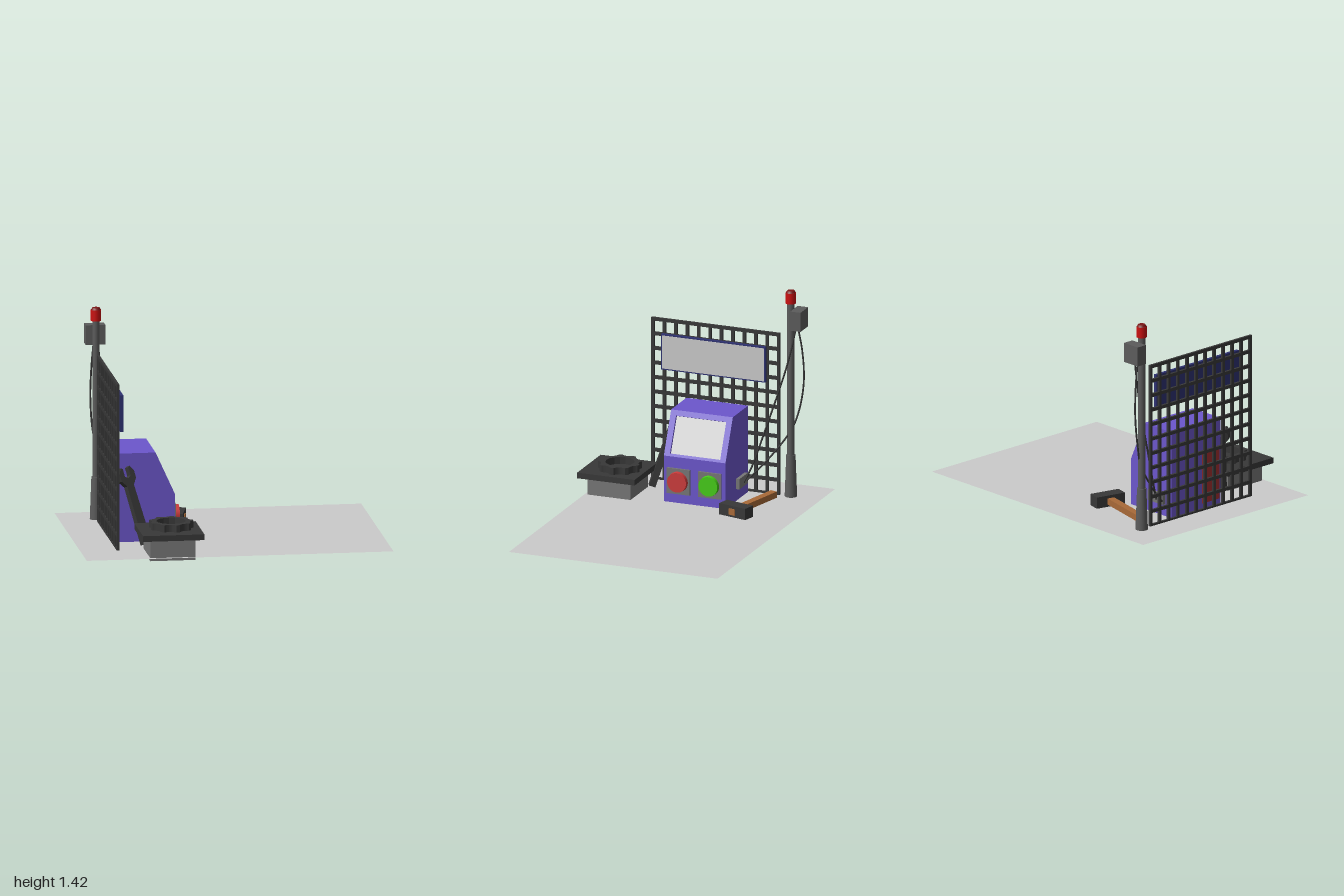
import * as THREE from 'three';

const mat = (color, opts = {}) => new THREE.MeshStandardMaterial({ color, ...opts });
const grey = mat(0xcccccc, { side: THREE.DoubleSide });
const midGrey = mat(0x777777);
const steel = mat(0x5c5c5c);
const dark = mat(0x383838);
const purple = mat(0x6c56cc);
const navy = mat(0x2e3272);
const wood = mat(0xa86a38);
const beaconRed = mat(0xcc1010);

function add(parent, name, geometry, material, x = 0, y = 0, z = 0) {
  const mesh = new THREE.Mesh(geometry, material);
  mesh.name = name;
  mesh.position.set(x, y, z);
  parent.add(mesh);
  return mesh;
}

// Box given by its lower and upper limits on each axis
function block(parent, name, material, x0, x1, y0, y1, z0, z1) {
  return add(parent, name, new THREE.BoxGeometry(x1 - x0, y1 - y0, z1 - z0), material,
    (x0 + x1) / 2, (y0 + y1) / 2, (z0 + z1) / 2);
}

function extrude(points, depth, z = 0) {
  const shape = new THREE.Shape(points.map(p => new THREE.Vector2(...p)));
  return new THREE.ExtrudeGeometry(shape, { depth, bevelEnabled: false }).translate(0, 0, z);
}

function makeMeshPanel() {
  const g = new THREE.Group();
  g.name = 'wireMeshPanel';
  const n = 12, z0 = -0.452, z1 = 0.424, y0 = 0.021, y1 = 1.107;
  for (let i = 0; i < n; i++) {
    const z = THREE.MathUtils.lerp(z0, z1, i / (n - 1));
    const y = THREE.MathUtils.lerp(y0, y1, i / (n - 1));
    block(g, 'uprightBar', dark, -0.764, -0.748, 0.01, 1.118, z - 0.01, z + 0.01);
    block(g, 'crossBar', dark, -0.764, -0.748, y - 0.011, y + 0.011, -0.462, 0.434);
  }
  return g;
}

function makeSign() {
  const g = new THREE.Group();
  g.name = 'signBoard';
  block(g, 'signFrame', navy, -0.73, -0.708, 0.785, 1.025, -0.378, 0.35);
  block(g, 'signFace', grey, -0.71, -0.706, 0.793, 1.017, -0.37, 0.342);
  return g;
}

function makeCabinet() {
  const g = new THREE.Group();
  g.name = 'controlCabinet';
  const slope = (t, inset) => [-0.475 + 0.125 * t - 0.91 * inset, 0.605 - 0.275 * t - 0.414 * inset];
  const back = [[-0.735, 0.605], [-0.735, 0.015], [-0.35, 0.015], slope(1, 0)];
  const recess = [slope(0.94, 0), slope(0.94, 0.02), slope(0.12, 0.02), slope(0.12, 0)];
  // Full profile on both sides, notched profile in between for the screen
  add(g, 'cabinetSide', extrude([...back, slope(0, 0)], 0.04, -0.247), purple);
  add(g, 'cabinetBody', extrude([...back, ...recess, slope(0, 0)], 0.35, -0.207), purple);
  add(g, 'cabinetSide', extrude([...back, slope(0, 0)], 0.04, 0.143), purple);
  const screen = [slope(0.94, 0.02), slope(0.94, 0.016), slope(0.12, 0.016), slope(0.12, 0.02)];
  add(g, 'screen', extrude(screen, 0.35, -0.207), grey);
  // Push buttons on square plates
  [[0.078, 0xcc3c3c], [-0.14, 0x46cc18]].forEach(([z, color]) => {
    block(g, 'buttonPlate', midGrey, -0.352, -0.337, 0.083, 0.255, z - 0.08, z + 0.08);
    const cap = new THREE.CylinderGeometry(0.066, 0.068, 0.03, 32).rotateZ(-Math.PI / 2);
    add(g, 'button', cap, mat(color), -0.325, 0.169, z);
  });
  block(g, 'rearPanel', mat(0xa03030), -0.742, -0.734, 0.06, 0.4, 0.02, 0.17);
  block(g, 'cableSocket', midGrey, -0.675, -0.53, 0.1, 0.17, -0.27, -0.246);
  return g;
}

function makeBeacon() {
  const g = new THREE.Group();
  g.name = 'beaconPole';
  const x = -0.76, z = -0.535;
  const cyl = (name, m, rTop, rBottom, y0, y1) =>
    add(g, name, new THREE.CylinderGeometry(rTop, rBottom, y1 - y0, 16), m, x, (y0 + y1) / 2, z);
  cyl('poleFoot', steel, 0.03, 0.041, 0.005, 0.3);
  cyl('poleShaft', steel, 0.024, 0.024, 0.3, 1.34);
  cyl('beaconLamp', beaconRed, 0.034, 0.034, 1.33, 1.402);
  cyl('beaconCap', mat(0x7a1515), 0.024, 0.032, 1.402, 1.416);
  block(g, 'junctionBox', steel, -0.823, -0.695, 1.165, 1.295, -0.629, -0.557);
  const cables = [
    [[-0.77, 1.17, -0.58], [-0.78, 1, -0.607], [-0.785, 0.8, -0.615], [-0.775, 0.6, -0.585],
      [-0.75, 0.47, -0.54], [-0.7, 0.27, -0.4], [-0.665, 0.12, -0.265]],
    [[-0.74, 1.17, -0.578], [-0.732, 1.05, -0.555], [-0.715, 0.88, -0.515],
      [-0.665, 0.45, -0.385], [-0.635, 0.22, -0.31], [-0.61, 0.12, -0.265]],
  ];
  cables.forEach(pts => {
    const curve = new THREE.CatmullRomCurve3(pts.map(p => new THREE.Vector3(...p)));
    add(g, 'cable', new THREE.TubeGeometry(curve, 40, 0.006, 8), dark);
  });
  return g;
}

function makeHammer() {
  const g = new THREE.Group();
  g.name = 'hammer';
  block(g, 'hammerHandle', wood, -0.415, 0.05, 0.035, 0.077, -0.024, 0.024);
  block(g, 'hammerHead', dark, -0.043, 0.043, 0.018, 0.096, -0.104, 0.104);
  g.position.set(-0.252, 0, -0.361);
  g.rotation.y = -0.24;
  return g;
}

function makeStand() {
  const g = new THREE.Group();
  g.name = 'workStand';
  block(g, 'standBase', midGrey, -0.583, -0.289, 0, 0.142, 0.39, 0.69);
  block(g, 'standTop', dark, -0.637, -0.237, 0.14, 0.178, 0.341, 0.741);
  // Scalloped ring: nine teeth joined by concave arcs
  const teeth = 9, ring = new THREE.Shape();
  const polar = (r, a) => [r * Math.cos(a), r * Math.sin(a)];
  for (let i = 0; i < teeth; i++) {
    const a = (i / teeth) * Math.PI * 2, step = Math.PI * 2 / teeth;
    if (i === 0) ring.moveTo(...polar(0.143, a - step * 0.12));
    ring.lineTo(...polar(0.143, a + step * 0.12));
    ring.quadraticCurveTo(...polar(0.11, a + step * 0.5), ...polar(0.143, a + step * 0.88));
  }
  ring.holes.push(new THREE.Path().absarc(0, 0, 0.095, 0, Math.PI * 2, true));
  const geo = new THREE.ExtrudeGeometry(ring, { depth: 0.047, bevelEnabled: false, curveSegments: 8 });
  add(g, 'scallopedRing', geo.rotateX(-Math.PI / 2), dark, -0.422, 0.178, 0.518);
  return g;
}

function makeWrench() {
  // Open-ended outline, with the jaw at the top
  const outline = [[-0.032, 0], [0.032, 0], [0.026, 0.39], [0.056, 0.43], [0.058, 0.475], [0.036, 0.515],
    [0.022, 0.508], [0.022, 0.455], [0, 0.44], [-0.022, 0.455], [-0.022, 0.508], [-0.036, 0.515],
    [-0.058, 0.475], [-0.056, 0.43], [-0.026, 0.39]];
  const mesh = new THREE.Mesh(extrude(outline, 0.042, -0.021), dark);
  mesh.name = 'wrench';
  const foot = new THREE.Vector3(-0.56, 0.04, 0.352);
  const up = new THREE.Vector3(-0.69, 0.52, 0.228).sub(foot).normalize();
  const side = up.clone().cross(new THREE.Vector3(0.45, 0, 0.89)).normalize();
  const normal = side.clone().cross(up);
  mesh.quaternion.setFromRotationMatrix(new THREE.Matrix4().makeBasis(side, up, normal));
  mesh.position.copy(foot);
  return mesh;
}

export function createModel() {
  const model = new THREE.Group();
  model.name = 'workshopCorner';
  add(model, 'floor', new THREE.PlaneGeometry(2, 1.455).rotateX(-Math.PI / 2), grey, 0, 0.02, -0.0175);
  model.add(makeMeshPanel(), makeSign(), makeCabinet(), makeBeacon(), makeHammer(), makeStand(), makeWrench());
  return model;
}
